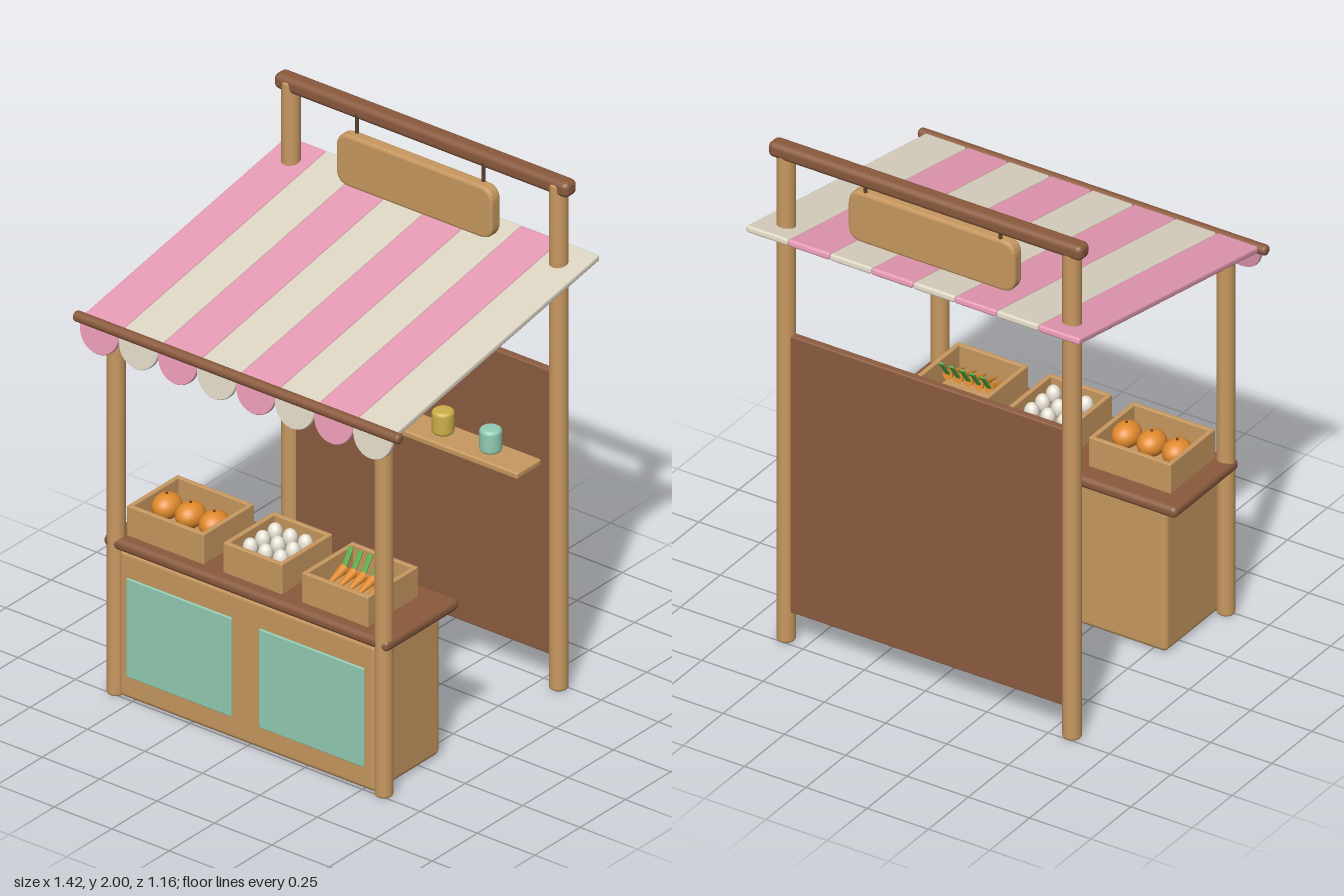
import * as THREE from 'three';
import { RoundedBoxGeometry } from 'three/addons/geometries/RoundedBoxGeometry.js';

const mat = (color) => new THREE.MeshStandardMaterial({ color });
const M = {
  wood: mat(0xc89860), brown: mat(0x8a5a3e), panel: mat(0x8c5c40), pink: mat(0xe69ab4),
  cream: mat(0xded6c4), mint: mat(0x92ccb3), gold: mat(0xcdaf48), rope: mat(0x5a4030),
  orange: mat(0xe08a2c), egg: mat(0xe8e2d6), green: mat(0x5aa845),
};

function add(parent, name, geometry, material, x, y, z) {
  const m = new THREE.Mesh(geometry, material);
  m.name = name;
  m.position.set(x, y, z);
  parent.add(m);
  return m;
}

const rbox = (w, h, d, r) => new RoundedBoxGeometry(w, h, d, 3, r);

// Upright cylinder with softened rims, standing on y = 0
function softCylinder(r, h, b, sides = 24) {
  const pts = [new THREE.Vector2(0, 0)];
  for (let i = 0; i <= 4; i++) {
    const a = (i / 4) * Math.PI / 2;
    pts.push(new THREE.Vector2(r - b + b * Math.sin(a), b - b * Math.cos(a)));
  }
  for (let i = 0; i <= 4; i++) {
    const a = (i / 4) * Math.PI / 2;
    pts.push(new THREE.Vector2(r - b + b * Math.cos(a), h - b + b * Math.sin(a)));
  }
  pts.push(new THREE.Vector2(0, h));
  return new THREE.LatheGeometry(pts, sides);
}

// Open-topped produce crate
function crate(parent, name, x, w) {
  const g = new THREE.Group();
  g.name = name;
  g.position.set(x, 0.622, 0.33);
  parent.add(g);
  const d = 0.28, h = 0.118, t = 0.018;
  add(g, 'crateFloor', new THREE.BoxGeometry(w - t, 0.02, d - t), M.wood, 0, 0.012, 0);
  for (const s of [-1, 1]) {
    add(g, 'crateLongWall', rbox(w, h, t, 0.004), M.wood, 0, h / 2, s * (d - t) / 2);
    add(g, 'crateEndWall', rbox(t, h, d - t, 0.004), M.wood, s * (w - t) / 2, h / 2, 0);
  }
  return g;
}

export function createModel() {
  const root = new THREE.Group();
  root.name = 'marketStall';

  // Posts
  for (const s of [-1, 1]) {
    add(root, 'frontPost', softCylinder(0.033, 1.455, 0.012), M.wood, s * 0.583, 0.005, 0.487);
    add(root, 'backPost', softCylinder(0.034, 1.98, 0.012), M.wood, s * 0.583, 0.005, -0.477);
  }

  // Top beam and hanging board
  add(root, 'topBeam', rbox(1.28, 0.06, 0.066, 0.022), M.brown, 0, 1.97, -0.48);
  const w = 0.33, h = 0.09, c = 0.045;
  const board = new THREE.Shape();
  board.moveTo(-w + c, -h);
  board.lineTo(w - c, -h);
  board.quadraticCurveTo(w, -h, w, -h + c);
  board.lineTo(w, h - c);
  board.quadraticCurveTo(w, h, w - c, h);
  board.lineTo(-w + c, h);
  board.quadraticCurveTo(-w, h, -w, h - c);
  board.lineTo(-w, -h + c);
  board.quadraticCurveTo(-w, -h, -w + c, -h);
  const boardGeo = new THREE.ExtrudeGeometry(board, {
    depth: 0.03, bevelEnabled: true, bevelSize: 0.01, bevelThickness: 0.01, bevelSegments: 2, curveSegments: 6,
  });
  add(root, 'hangingBoard', boardGeo, M.wood, 0, 1.79, -0.456);
  for (const s of [-1, 1]) {
    add(root, 'boardHanger', new THREE.CylinderGeometry(0.007, 0.007, 0.09, 8), M.rope, s * 0.275, 1.92, -0.452);
  }

  // Back wall
  add(root, 'backWall', rbox(1.15, 1.11, 0.03, 0.006), M.panel, 0, 0.685, -0.48);

  // Shelf and jars
  add(root, 'shelf', rbox(1.03, 0.027, 0.135, 0.008), M.wood, 0, 0.867, -0.402);
  [-0.345, -0.105, 0.135, 0.342].forEach((x, i) => {
    add(root, 'jar', softCylinder(0.04, 0.09, 0.014), i % 2 ? M.mint : M.gold, x, 0.88, -0.407);
  });

  // Counter
  add(root, 'counterBody', rbox(1.12, 0.575, 0.36, 0.02), M.wood, 0, 0.297, 0.325);
  add(root, 'counterTop', rbox(1.24, 0.045, 0.405, 0.02), M.brown, 0, 0.602, 0.3145);
  for (const x of [-0.292, 0.285]) {
    add(root, 'frontPanel', rbox(0.457, 0.385, 0.02, 0.004), M.mint, x, 0.292, 0.502);
  }

  // Striped awning with scalloped valance
  const awning = new THREE.Group();
  awning.name = 'awning';
  root.add(awning);
  const slope = Math.atan2(0.21, 1.13);
  const scallop = new THREE.Shape();
  scallop.moveTo(-0.083, 0.015);
  scallop.lineTo(-0.083, 0);
  scallop.absarc(0, 0, 0.083, Math.PI, Math.PI * 2, false);
  scallop.lineTo(0.083, 0.015);
  const scallopGeo = new THREE.ExtrudeGeometry(scallop, {
    depth: 0.01, bevelEnabled: true, bevelSize: 0.002, bevelThickness: 0.003, bevelSegments: 1, curveSegments: 16,
  });
  for (let i = 0; i < 8; i++) {
    const x = -0.595 + i * 0.17;
    const m = i % 2 ? M.cream : M.pink;
    add(awning, 'awningStripe', rbox(0.17, 0.026, 1.156, 0.009), m, x, 1.569, -0.014).rotation.x = slope;
    add(awning, 'valanceScallop', scallopGeo, m, x, 1.445, 0.553).rotation.x = -0.17;
  }
  const poleGeo = softCylinder(0.02, 1.42, 0.012, 16);
  add(awning, 'awningPole', poleGeo, M.brown, 0.71, 1.466, 0.553).rotation.z = Math.PI / 2;

  // Crate of round fruit
  const fruit = crate(root, 'fruitCrate', -0.383, 0.335);
  for (let i = -1; i <= 1; i++) {
    add(fruit, 'fruit', new THREE.SphereGeometry(0.052, 24, 16), M.orange, i * 0.103, 0.08, 0).scale.set(0.96, 0.9, 1.15);
    add(fruit, 'fruitStem', new THREE.CylinderGeometry(0.004, 0.006, 0.012, 6), M.rope, i * 0.103, 0.126, 0);
  }

  // Crate of eggs
  const eggs = crate(root, 'eggCrate', -0.003, 0.257);
  for (let i = -1; i <= 1; i++) {
    for (let j = -1; j <= 1; j++) {
      add(eggs, 'egg', new THREE.SphereGeometry(0.027, 16, 12), M.egg, i * 0.066, 0.09, j * 0.068).scale.y = 1.3;
    }
  }

  // Crate of carrots with leafy tops leaning back
  const carrots = crate(root, 'carrotCrate', 0.355, 0.288);
  for (let i = -2; i <= 2; i++) {
    const x = i * 0.042;
    add(carrots, 'carrot', new THREE.ConeGeometry(0.019, 0.13, 12), M.orange, x, 0.07, 0.045).rotation.x = Math.PI / 2 + 0.25;
    add(carrots, 'carrotTop', rbox(0.02, 0.085, 0.008, 0.003), M.green, x, 0.118, -0.035).rotation.x = -0.6;
  }

  return root;
}
